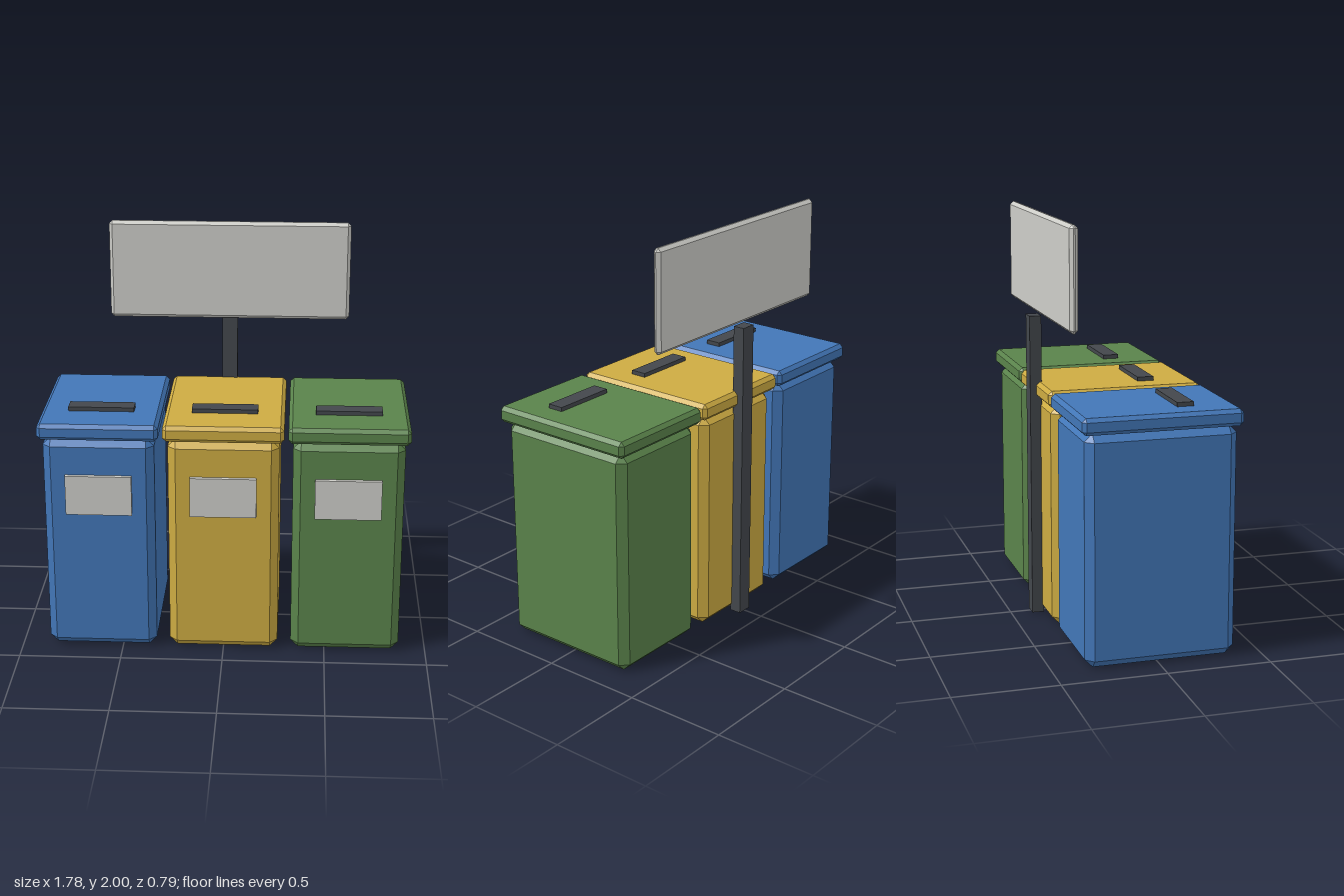
import * as THREE from 'three';
import { ConvexGeometry } from 'three/addons/geometries/ConvexGeometry.js';

const mat = (name, color) => {
  const m = new THREE.MeshStandardMaterial({ color });
  m.name = name;
  return m;
};

// Box with flat chamfers on all edges, centred on the origin
function chamferBox(w, h, d, c) {
  const pts = [];
  for (const sx of [-1, 1]) for (const sy of [-1, 1]) for (const sz of [-1, 1]) {
    const x = w / 2, y = h / 2, z = d / 2;
    pts.push(new THREE.Vector3(sx * x, sy * (y - c), sz * (z - c)));
    pts.push(new THREE.Vector3(sx * (x - c), sy * y, sz * (z - c)));
    pts.push(new THREE.Vector3(sx * (x - c), sy * (y - c), sz * z));
  }
  return new ConvexGeometry(pts);
}

function add(parent, name, geometry, material, x, y, z) {
  const mesh = new THREE.Mesh(geometry, material);
  mesh.name = name;
  mesh.position.set(x, y, z);
  parent.add(mesh);
}

export function createModel() {
  const model = new THREE.Group();
  model.name = 'recyclingStation';

  const dark = mat('dark grey', 0x43474c);
  const pale = mat('pale grey', 0xcdcdc8);
  const bins = [
    ['blueBin', -0.6, mat('blue', 0x4276b7)],
    ['yellowBin', 0, mat('yellow', 0xcdab42)],
    ['greenBin', 0.6, mat('green', 0x5a834b)],
  ];

  // Shared bin parts
  const body = chamferBox(0.535, 1.1, 0.72, 0.038);
  const lid = chamferBox(0.58, 0.08, 0.76, 0.018);
  const slot = new THREE.BoxGeometry(0.32, 0.02, 0.08);
  const label = new THREE.BoxGeometry(0.32, 0.2, 0.02);

  for (const [name, x, colour] of bins) {
    const bin = new THREE.Group();
    bin.name = name;
    bin.position.x = x;
    add(bin, 'body', body, colour, 0, 0.55, 0.016);
    add(bin, 'lid', lid, colour, 0, 1.14, 0.015);
    add(bin, 'slot', slot, dark, 0, 1.19, 0.154);
    add(bin, 'label', label, pale, 0, 0.82, 0.386);
    model.add(bin);
  }

  // Sign on its post behind the bins
  add(model, 'post', new THREE.BoxGeometry(0.078, 1.505, 0.058), dark, 0, 0.7525, -0.367);
  add(model, 'signBoard', chamferBox(1.2, 0.495, 0.04, 0.016), pale, 0, 1.7525, -0.322);

  return model;
}
